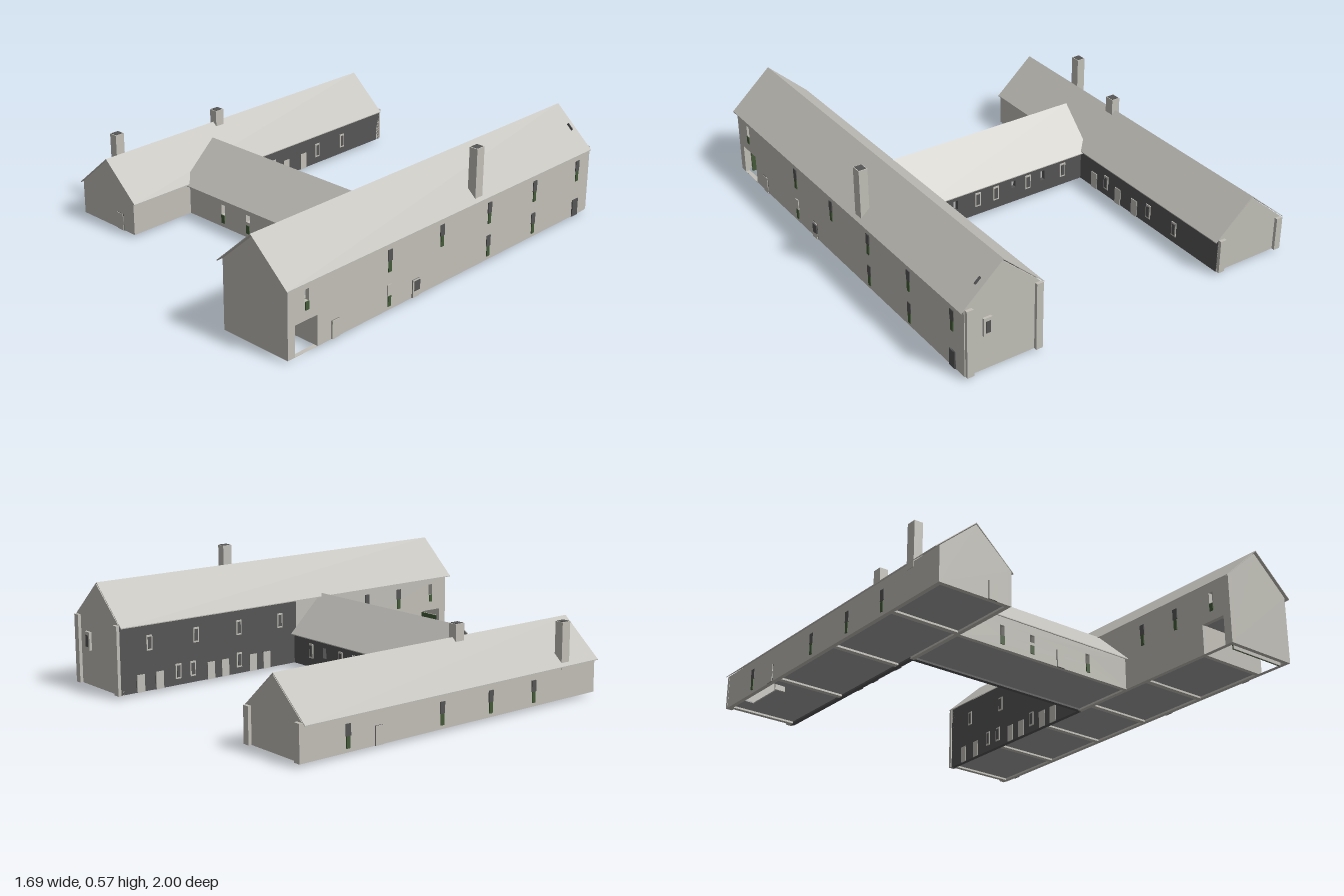
import * as THREE from 'three';

const mat = (name, color) => {
  const m = new THREE.MeshStandardMaterial({ color });
  m.name = name;
  return m;
};

export function createModel() {
  const stone = mat('pale stone', 0xc1bfb7);
  const slate = mat('pale roof', 0xc0beb8);
  const paving = mat('floor grey', 0xa2a2a2);
  const dark = mat('dark grey', 0x555555);
  const green = mat('dark green', 0x435a38);
  const model = new THREE.Group();
  model.name = 'courtyardBuilding';
  const T = 0.02, BASE = 0.015;

  const box = (name, m, x0, x1, y0, y1, z0, z1, parent = model) => {
    const b = new THREE.Mesh(new THREE.BoxGeometry(x1 - x0, y1 - y0, z1 - z0), m);
    b.position.set((x0 + x1) / 2, (y0 + y1) / 2, (z0 + z1) / 2);
    b.name = name;
    parent.add(b);
    return b;
  };
  const points = pts => pts.map(p => new THREE.Vector2(p[0], p[1]));
  const rect = (a, b, y0, y1) => [[a, y0], [b, y0], [b, y1], [a, y1]];

  // Extruded outline; alongZ turns the outline's first axis to z and its depth to -x
  const slab = (name, m, pts, holes, depth, at, alongZ = false) => {
    const s = new THREE.Shape(points(pts));
    holes.forEach(h => s.holes.push(new THREE.Path(points(rect(...h)))));
    const mesh = new THREE.Mesh(new THREE.ExtrudeGeometry(s, { depth, bevelEnabled: false }), m);
    if (alongZ) { mesh.rotation.y = -Math.PI / 2; mesh.position.x = at; }
    else mesh.position.z = at;
    mesh.name = name;
    model.add(mesh);
  };
  const wallZ = (name, m, z0, z1, top, outerX, holes = []) =>
    slab(name, m, rect(z0, z1, BASE, top), holes, T, outerX, true);
  const wallX = (name, m, x0, x1, top, z, holes = []) =>
    slab(name, m, rect(x0, x1, BASE, top), holes, T, z);
  const gable = (name, x0, x1, eave, ridge, z) =>
    slab(name, stone, [[x0, BASE], [x1, BASE], [x1, eave], [(x0 + x1) / 2, ridge], [x0, eave]], [], T, z);
  const roof = (name, a, b, mid, eave, ridge, depth, at, alongZ) => {
    const t = 0.004;
    slab(name, slate, [[a, eave - t], [mid, ridge - t], [b, eave - t], [b, eave], [mid, ridge], [a, eave]],
      [], depth, at, alongZ);
  };

  // Walls of the tall wing, with a passage near the front
  const archway = [0.82, 0.945, BASE + 0.0005, 0.155], loft = [0.868, 0.892, 0.235, 0.29];
  wallZ('tallWingOuterWall', stone, -0.985, 0.985, 0.333, 0.83, [archway, loft]);
  wallZ('tallWingInnerWall', stone, 0, 0.985, 0.333, 0.47 + T, [archway, loft]);
  wallZ('tallWingCourtyardWall', dark, -0.985, 0, 0.333, 0.47 + T);
  gable('tallWingFrontGable', 0.47, 0.83, 0.333, 0.495, 0.965);
  gable('tallWingBackGable', 0.47, 0.83, 0.333, 0.495, -0.985);
  roof('tallWingRoof', 0.45, 0.843, 0.645, 0.324, 0.502, 1.985, -0.985, false);
  box('tallWingFloor', paving, 0.48, 0.82, 0.024, 0.03, -0.975, 0.81);
  box('passagePartition', stone, 0.49, 0.81, BASE, 0.2, 0.8, 0.82);
  box('passageCeiling', paving, 0.49, 0.81, 0.156, 0.17, 0.82, 0.965);
  box('passageHedge', green, 0.5, 0.79, 0, 0.11, 0.955, 0.96);
  box('passageHedgeBacking', stone, 0.5, 0.79, 0, 0.11, 0.96, 0.965);
  const vent = box('roofVent', dark, -0.018, 0.018, -0.006, 0.008, -0.955, -0.95);
  vent.position.set(0.742, 0.419, -0.95);
  vent.rotation.z = -0.74;

  // Walls of the low wing
  wallZ('lowWingOuterWall', stone, -0.985, 0.67, 0.175, -0.83 + T);
  wallZ('lowWingInnerWall', stone, 0, 0.67, 0.175, -0.47);
  wallZ('lowWingCourtyardWall', dark, -0.985, 0, 0.175, -0.47);
  gable('lowWingFrontGable', -0.83, -0.47, 0.175, 0.329, 0.65);
  gable('lowWingBackGable', -0.83, -0.47, 0.175, 0.329, -0.985);
  roof('lowWingRoof', -0.848, -0.46, -0.65, 0.168, 0.337, 1.657, -0.985, false);

  // Low wing floor, left open over a stairwell
  [[-0.82, -0.48, -0.62, 0.66], [-0.82, -0.48, -0.975, -0.88], [-0.75, -0.48, -0.88, -0.62]].forEach(
    ([x0, x1, z0, z1]) => box('lowWingFloor', paving, x0, x1, 0.024, 0.03, z0, z1));
  box('stairwellPlate', stone, -0.79, -0.74, 0, 0.1, -0.63, -0.622);

  // Linking range between the wings
  const panes = [-0.245, -0.08, 0.24];
  const paneHoles = panes.map(x => [x - 0.012, x + 0.012, x === -0.08 ? 0.09 : 0.076, 0.125]);
  wallX('linkFrontWall', stone, -0.47, 0.47, 0.165, 0.31, paneHoles);
  wallX('linkBackWall', dark, -0.47, 0.47, 0.165, -0.01, paneHoles);
  roof('linkRoof', -0.03, 0.35, 0.155, 0.16, 0.337, 0.97, 0.47, true);
  slab('linkEndGable', dark, [[-0.025, 0.157], [0.345, 0.157], [0.155, 0.331]], [], 0.01, -0.488, true);
  box('linkFloor', paving, -0.48, 0.48, 0.024, 0.03, 0, 0.32);

  // Cross walls showing under the floors
  [-0.6, -0.25, 0.08, 0.45].forEach(z => box('tallWingSill', stone, 0.49, 0.81, BASE, 0.03, z - 0.012, z + 0.012));
  [-0.55, -0.1, 0.33].forEach(z => box('lowWingSill', stone, -0.81, -0.49, BASE, 0.03, z - 0.012, z + 0.012));

  // Corner piers at the back ends
  [[0.48, 0.333], [0.81, 0.333], [-0.815, 0.175], [-0.49, 0.175]].forEach(([x, h]) =>
    box('cornerPier', stone, x - 0.016, x + 0.016, BASE, h, -1, -0.985));

  // Chimneys with dark flue tops
  [[0.807, -0.172, 0.3, 0.565], [-0.65, -0.01, 0.28, 0.395], [-0.812, 0.475, 0.15, 0.362]].forEach(([x, z, y0, y1]) => {
    box('chimney', stone, x - 0.021, x + 0.021, y0, y1, z - 0.024, z + 0.024);
    box('flue', dark, x - 0.017, x + 0.017, y1 - 0.004, y1 + 0.002, z - 0.019, z + 0.019);
  });

  // Wall details, placed on a face turned by ry; each part is name, material, width, y range, depth
  const detail = (name, x, y, z, ry, parts) => {
    const g = new THREE.Group();
    g.name = name;
    parts.forEach(([n, m, w, y0, y1, d]) => box(n, m, -w / 2, w / 2, y0, y1, -0.001, d, g));
    g.position.set(x, y, z);
    g.rotation.y = ry;
    model.add(g);
  };
  const windowParts = (pane = dark) => [['pane', pane, 0.026, 0.05, 0.1, 0.004], ['panel', green, 0.018, 0, 0.05, 0.004]];
  const framed = [['frame', stone, 0.03, 0, 0.07, 0.004], ['pane', dark, 0.018, 0.008, 0.062, 0.006]];
  const door = m => [['frame', dark, 0.043, 0, 0.082, 0.002], ['leaf', m, 0.04, 0, 0.081, 0.005]];
  const R = Math.PI / 2;

  // Tall wing, outer side
  [0.4, 0.07, -0.25, -0.575, -0.9].forEach(z => detail('upperWindow', 0.83, 0.19, z, R, windowParts()));
  detail('loftPanel', 0.83, 0.2, 0.88, R, [['panel', green, 0.02, 0, 0.036, 0.004]]);
  [[0.4, stone], [-0.25, dark], [-0.575, dark]].forEach(([z, m]) =>
    detail('lowerWindow', 0.83, 0.032, z, R, windowParts(m)));
  [[0.72, stone], [0.235, stone], [-0.9, dark]].forEach(([z, m]) => detail('sideDoor', 0.83, BASE, z, R, door(m)));
  detail('doorGlass', 0.834, 0.045, 0.23, R, [['glass', dark, 0.034, 0, 0.045, 0.004]]);

  // Tall wing, inner side
  [-0.88, -0.78, -0.5, -0.42, -0.26, -0.18].forEach(z => detail('courtyardDoor', 0.47, BASE, z, -R, door(stone)));
  [-0.83, -0.58, -0.34, -0.1].forEach(z => detail('courtyardUpperWindow', 0.47, 0.2, z, -R, framed));
  [-0.68, -0.6, -0.34].forEach(z => detail('courtyardWindow', 0.47, 0.045, z, -R, framed));
  [0.45, 0.66].forEach(z => detail('innerUpperWindow', 0.47, 0.19, z, -R, windowParts()));
  detail('innerLoftPanel', 0.47, 0.2, 0.88, -R, [['panel', green, 0.02, 0, 0.036, 0.004]]);
  detail('backWindow', 0.725, 0.18, -0.985, 2 * R,
    [['frame', stone, 0.04, 0, 0.085, 0.012], ['pane', dark, 0.022, 0.015, 0.07, 0.014]]);

  // Low wing
  [-0.76, -0.26, 0.02, 0.28].forEach(z => detail('outerWindow', -0.83, 0.032, z, -R, windowParts()));
  detail('outerDoor', -0.83, BASE, -0.6, -R, door(stone));
  detail('frontDoor', -0.565, BASE, 0.67, 0, door(stone));
  [-0.42, -0.3, -0.12].forEach(z => detail('courtyardDoor', -0.47, BASE, z, R, door(stone)));
  [-0.7, -0.52, -0.21].forEach(z => detail('courtyardWindow', -0.47, 0.05, z, R, framed));

  // Linking range
  panes.forEach(x => detail('frontPanel', x, 0.035, 0.33, 0, [['panel', green, 0.02, 0, 0.04, 0.004]]));
  detail('linkDoor', 0.08, BASE, 0.33, 0, door(stone));
  [-0.36, -0.16, 0.02, 0.12, 0.34].forEach(x => detail('linkBackWindow', x, 0.06, -0.01, 2 * R, framed));

  return model;
}
